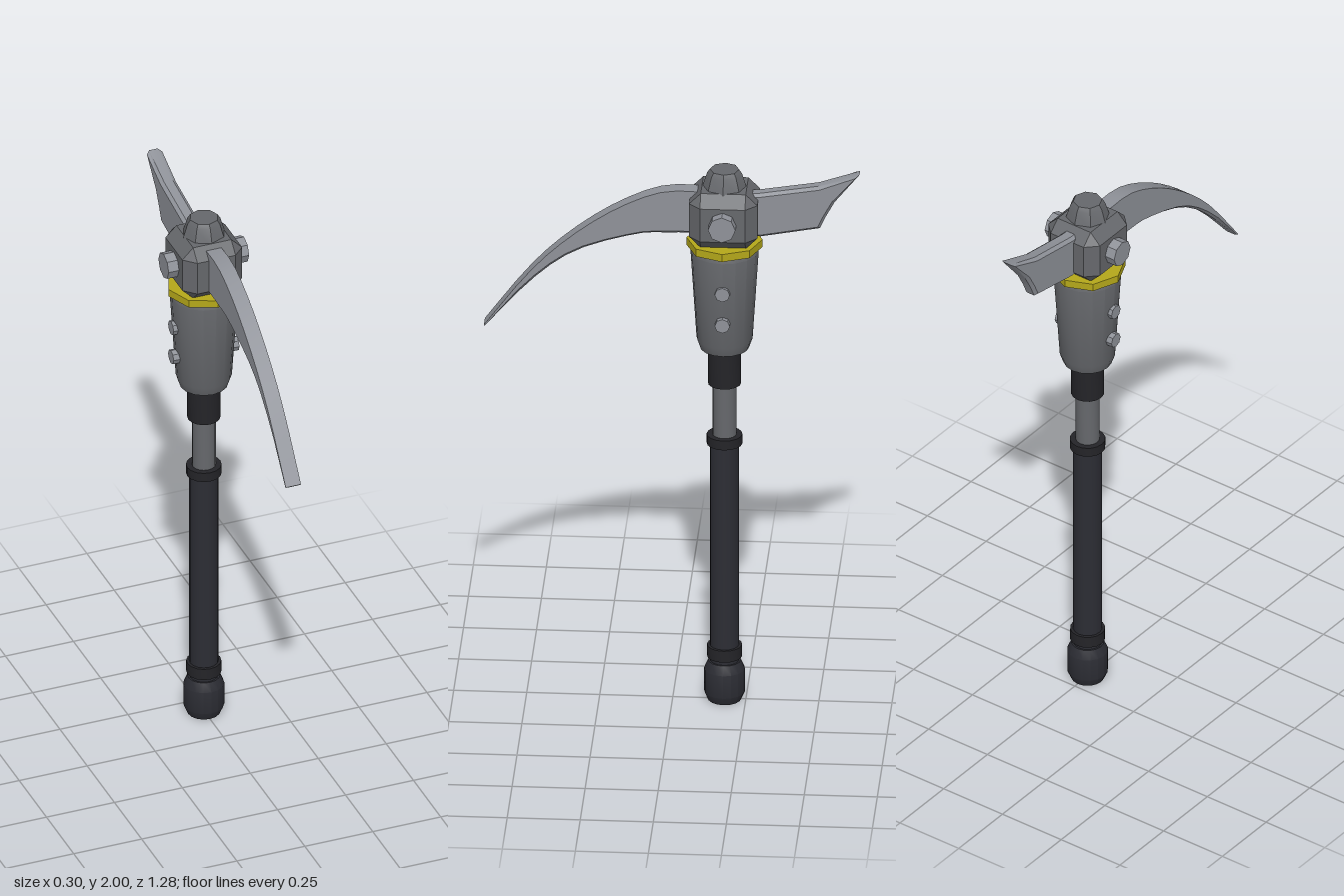
import * as THREE from 'three';
import { toCreasedNormals } from 'three/addons/utils/BufferGeometryUtils.js';
import { ConvexGeometry } from 'three/addons/geometries/ConvexGeometry.js';

const AXIS_Z = -0.177; // the shaft stands behind the centre

export function createModel() {
  const model = new THREE.Group();
  model.name = 'pickaxe';

  const material = (name, color) => {
    const m = new THREE.MeshStandardMaterial({ color });
    m.name = name;
    return m;
  };
  const steel = material('blade steel', 0x8f9299);
  const iron = material('head iron', 0x66686c);
  const rubber = material('grip rubber', 0x2c2d34);
  const black = material('black sleeve', 0x242428);
  const yellow = material('yellow band', 0xb5a81a);

  const add = (name, geometry, mat, x = 0, y = 0, z = AXIS_Z) => {
    const mesh = new THREE.Mesh(geometry, mat);
    mesh.name = name;
    mesh.position.set(x, y, z);
    model.add(mesh);
    return mesh;
  };

  // Closed turned solid from [radius, height] pairs, bottom to top
  const turned = (profile, sides = 16) => {
    const pts = [[0, profile[0][1]], ...profile, [0, profile.at(-1)[1]]];
    return toCreasedNormals(
      new THREE.LatheGeometry(pts.map(([r, y]) => new THREE.Vector2(r, y)), sides), 0.5);
  };

  // Handle
  add('pommel', turned([[0.057, 0], [0.07, 0.03], [0.07, 0.115], [0.056, 0.147]]), rubber);
  add('grip', turned([[0.05, 0.12], [0.05, 0.99]]), rubber);
  add('lowerGripRing', turned([[0.06, 0.162], [0.06, 0.205]]), black);
  add('upperGripRing', turned([[0.061, 0.965], [0.061, 1.0]]), black);
  add('shaft', turned([[0.041, 0.98], [0.041, 1.22]]), iron);
  add('sleeve', turned([[0.057, 1.193], [0.057, 1.35]]), black);

  // Socket below the head
  add('socket', turned([[0.084, 1.33], [0.096, 1.365], [0.117, 1.695], [0.112, 1.712]]), iron);
  add('band', turned([[0.13, 1.71], [0.13, 1.738]], 8), yellow);

  // Head block: box with every edge cut back
  const half = [0.11, 0.102, 0.117];
  const cut = 0.04;
  const corners = [];
  for (const sx of [-1, 1]) for (const sy of [-1, 1]) for (const sz of [-1, 1]) {
    for (let face = 0; face < 3; face++) {
      const [x, y, z] = half.map((h, i) => (i === face ? h : h - cut));
      corners.push(new THREE.Vector3(sx * x, sy * y, sz * z));
    }
  }
  add('headBlock', toCreasedNormals(new ConvexGeometry(corners), 0.3), iron, 0, 1.836);
  add('topKnob', turned([[0.08, 1.92], [0.06, 1.985], [0.05, 2.0]], 8), iron);

  // Side bolts and rivets
  for (const side of [-1, 1]) {
    const bolt = (name, y, radius, from, to) => {
      const mesh = add(name, turned([[radius, from], [radius, to]], 8), steel, 0, y);
      mesh.rotation.z = -side * Math.PI / 2;
    };
    const label = side > 0 ? 'left' : 'right';
    bolt(label + 'Bolt', 1.838, 0.047, 0.09, 0.148);
    bolt(label + 'UpperRivet', 1.58, 0.026, 0.08, 0.121);
    bolt(label + 'LowerRivet', 1.462, 0.026, 0.08, 0.121);
  }

  // Front spike: [z, top, bottom] stations with a sharpened underside
  const top = new THREE.SplineCurve([[-0.12, 1.922], [0.03, 1.92], [0.19, 1.852],
    [0.35, 1.74], [0.49, 1.603], [0.645, 1.398]].map(p => new THREE.Vector2(...p)));
  const bottom = new THREE.SplineCurve([[-0.12, 1.765], [0.02, 1.762], [0.13, 1.752],
    [0.33, 1.685], [0.48, 1.572], [0.64, 1.393]].map(p => new THREE.Vector2(...p)));
  const W = 0.028, STEPS = 14, positions = [], index = [];
  for (let i = 0; i <= STEPS; i++) {
    const a = top.getPoint(i / STEPS), b = bottom.getPoint(i / STEPS);
    const edge = b.clone().lerp(a, Math.min(0.4, 0.01 / a.distanceTo(b)));
    for (const [x, p] of [[W, a], [-W, a], [-W, edge], [-W * 0.55, b], [W * 0.55, b], [W, edge]])
      positions.push(x, p.y, p.x);
  }
  for (let i = 0; i < STEPS; i++) for (let j = 0; j < 6; j++) {
    const a = i * 6 + j, b = i * 6 + (j + 1) % 6;
    index.push(a, b, b + 6, a, b + 6, a + 6);
  }
  for (let j = 1; j < 5; j++) {
    index.push(0, j + 1, j, STEPS * 6, STEPS * 6 + j, STEPS * 6 + j + 1);
  }
  // Seen from the tip the section runs anticlockwise
  const spike = new THREE.BufferGeometry();
  spike.setAttribute('position', new THREE.Float32BufferAttribute(positions, 3));
  spike.setIndex(index);
  add('frontSpike', toCreasedNormals(spike, 0.4), steel, 0, 0, 0);

  // Rear adze blade: bevelled plate, drawn with its x running backwards
  const outline = new THREE.Shape([[0.22, 1.765], [0.3, 1.757], [0.505, 1.795], [0.525, 1.84],
    [0.555, 1.895], [0.64, 2.0], [0.5, 1.953], [0.3, 1.92], [0.22, 1.915]]
    .map(p => new THREE.Vector2(...p)));
  const blade = new THREE.ExtrudeGeometry(outline, {
    depth: 0.032, bevelEnabled: true, bevelThickness: 0.012, bevelSize: 0.01,
    bevelOffset: -0.01, bevelSegments: 1,
  });
  blade.translate(0, 0, -0.016);
  blade.rotateY(Math.PI / 2);
  add('rearBlade', toCreasedNormals(blade, 0.4), steel, 0, 0, 0);

  return model;
}
